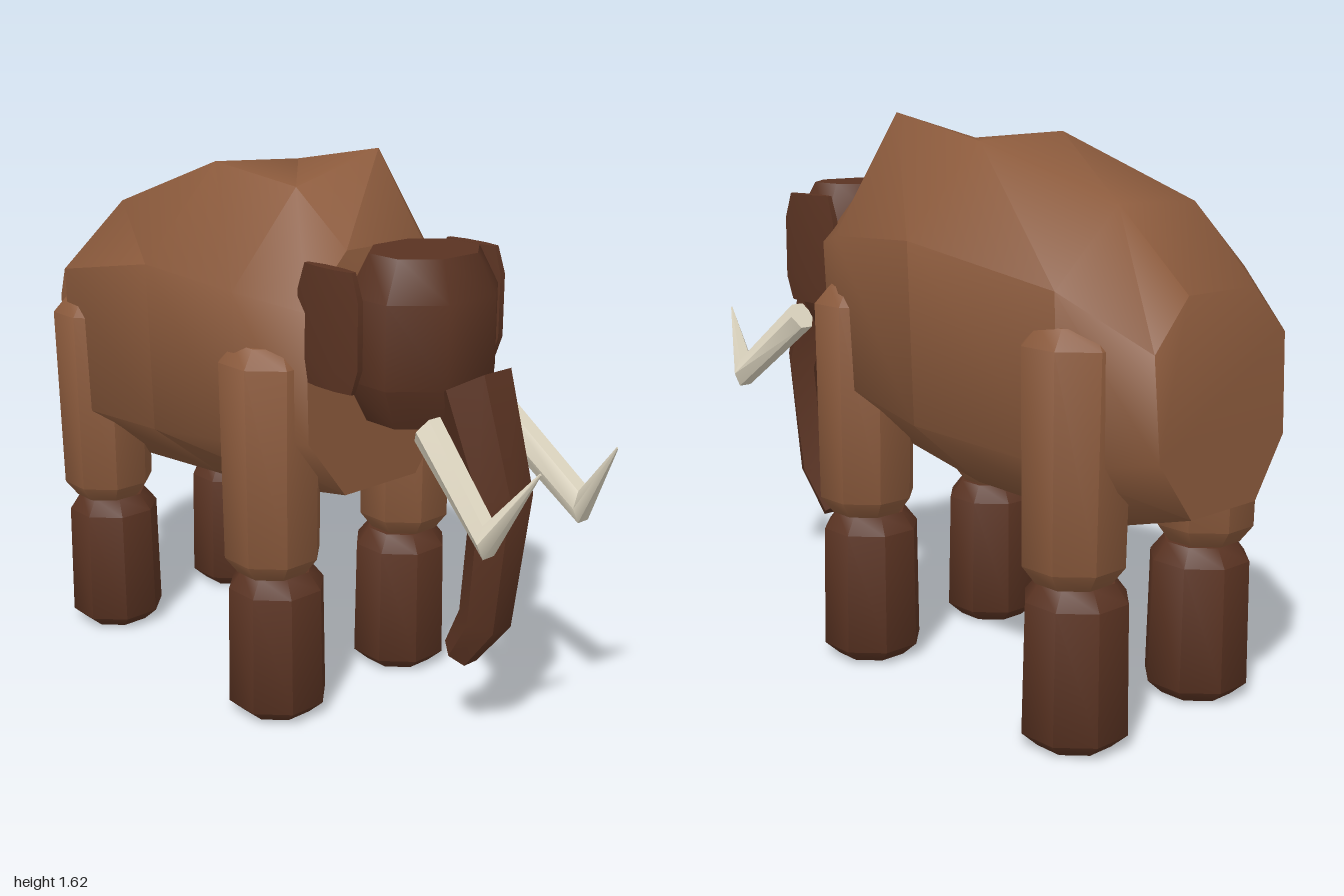
import * as THREE from 'three';
import { toCreasedNormals } from 'three/addons/utils/BufferGeometryUtils.js';

const CREASE = 0.87; // octagonal sides stay smooth, hexagonal ones sharp
const CX = -0.02; // mirror plane of the limbs

const hide = new THREE.MeshStandardMaterial({ color: 0x8b5a3c });
hide.name = 'hide brown';
const dark = new THREE.MeshStandardMaterial({ color: 0x5a3322 });
dark.name = 'dark brown';
const ivory = new THREE.MeshStandardMaterial({ color: 0xddd5c0 });
ivory.name = 'ivory';

// Skin through rings of points (counter-clockwise about the travel direction), capped at both ends
function loft(rings) {
  const n = rings[0].length;
  const last = (rings.length - 1) * n;
  const index = [];
  for (let i = 0; i < rings.length - 1; i++) {
    for (let j = 0; j < n; j++) {
      const a = i * n + j, b = i * n + (j + 1) % n;
      index.push(a, b, b + n, a, b + n, a + n);
    }
  }
  for (let j = 1; j < n - 1; j++) {
    index.push(0, j + 1, j, last, last + j, last + j + 1);
  }
  const g = new THREE.BufferGeometry();
  g.setAttribute('position', new THREE.Float32BufferAttribute(rings.flat(2), 3));
  g.setIndex(index);
  return toCreasedNormals(g, CREASE);
}

// Hexagon ring between two opposite edge midpoints a, b given as [y, z]
function hexRing(x, w, a, b) {
  const k = 1 / Math.sin(Math.PI / 3);
  const ring = [];
  for (let j = 0; j < 6; j++) {
    const t = j * Math.PI / 3, s = Math.sin(t) * k / 2;
    ring.push([
      x + w * Math.cos(t),
      (a[0] + b[0]) / 2 + (a[0] - b[0]) * s,
      (a[1] + b[1]) / 2 + (a[1] - b[1]) * s,
    ]);
  }
  return ring;
}

// Upright eight-sided barrel with chamfered ends; profile rows are [fraction of radius, y]
function barrel(halfX, halfZ, profile) {
  const k = 1 / Math.cos(Math.PI / 8);
  const pts = [[0, profile[0][1]], ...profile, [0, profile[profile.length - 1][1]]]
    .map(([r, y]) => new THREE.Vector2(r * k, y));
  const g = new THREE.LatheGeometry(pts, 8, Math.PI / 8);
  g.scale(halfX, 1, halfZ);
  return toCreasedNormals(g, CREASE);
}

export function createModel() {
  const model = new THREE.Group();
  const add = (name, geometry, material, x = 0, z = 0) => {
    const mesh = new THREE.Mesh(geometry, material);
    mesh.name = name;
    mesh.position.set(x, 0, z);
    model.add(mesh);
  };

  // Humped body: z, centre x, half width, top half width, top y right/left, shoulder y, flank y, belly y
  const sections = [
    [-0.97, -0.02, 0.26, 0.13, 1.20, 1.20, 1.07, 0.80, 0.64],
    [-0.75, -0.025, 0.375, 0.15, 1.40, 1.41, 1.21, 0.76, 0.57],
    [-0.28, 0, 0.42, 0.16, 1.57, 1.55, 1.30, 0.80, 0.60],
    [0.10, -0.02, 0.385, 0.155, 1.54, 1.62, 1.28, 0.85, 0.66],
    [0.29, -0.02, 0.285, 0.14, 1.39, 1.39, 1.24, 0.87, 0.69],
  ];
  add('body', loft(sections.map(([z, c, w, tw, tr, tl, sh, fl, be], i) => [
    [c + w * 0.95, fl], [c + w, sh], [c + tw, tl], [c - tw, tr],
    [c - w, sh], [c - w * 0.97, fl], [c - tw, be], [c + tw, be],
  ].map(([x, y]) => [x, y, i === 0 ? z - 0.054 * (1.2 - y) : z]))), hide);

  // Head
  add('head', barrel(0.212, 0.18, [[0.73, 0.94], [1, 1.06], [1, 1.29], [0.73, 1.40]]), dark, CX, 0.445);

  // Trunk: half width, front edge, back edge, from brow to tip
  add('trunk', loft([
    [0.103, [1.12, 0.72], [1.02, 0.55]],
    [0.088, [0.80, 0.82], [0.77, 0.68]],
    [0.072, [0.40, 0.77], [0.43, 0.645]],
    [0.05, [0.26, 0.66], [0.31, 0.585]],
  ].map(([w, a, b]) => hexRing(-0.022, w, a, b))), dark);

  for (const [side, s] of [['left', 1], ['right', -1]]) {
    // Ears
    add(side + 'Ear', barrel(0.022, 0.118, [[0.78, 1.05], [1, 1.12], [1, 1.30], [0.78, 1.375]]),
      dark, CX + s * 0.27, 0.367);

    // Tusks, bent sharply upward
    add(side + 'Tusk', loft([
      hexRing(CX + s * 0.14, 0.042, [1.0, 0.63], [0.93, 0.58]),
      hexRing(CX + s * 0.187, 0.042, [0.79, 0.87], [0.70, 0.875]),
      hexRing(CX + s * 0.15, 0.003, [0.95, 0.997], [0.945, 1.0]),
    ]), ivory);

    // Legs
    for (const [end, z, top] of [['Front', 0.118, 1.13], ['Rear', -0.73, 1.12]]) {
      add(side + end + 'UpperLeg',
        barrel(0.14, 0.138, [[0.7, 0.45], [0.95, 0.5], [1, top - 0.05], [0.7, top]]), hide, CX + s * 0.266, z);
      add(side + end + 'LowerLeg',
        barrel(0.139, 0.138, [[0.7, 0], [1, 0.04], [0.96, 0.40], [0.7, 0.45]]), dark, CX + s * 0.252, z);
    }
  }
  return model;
}
